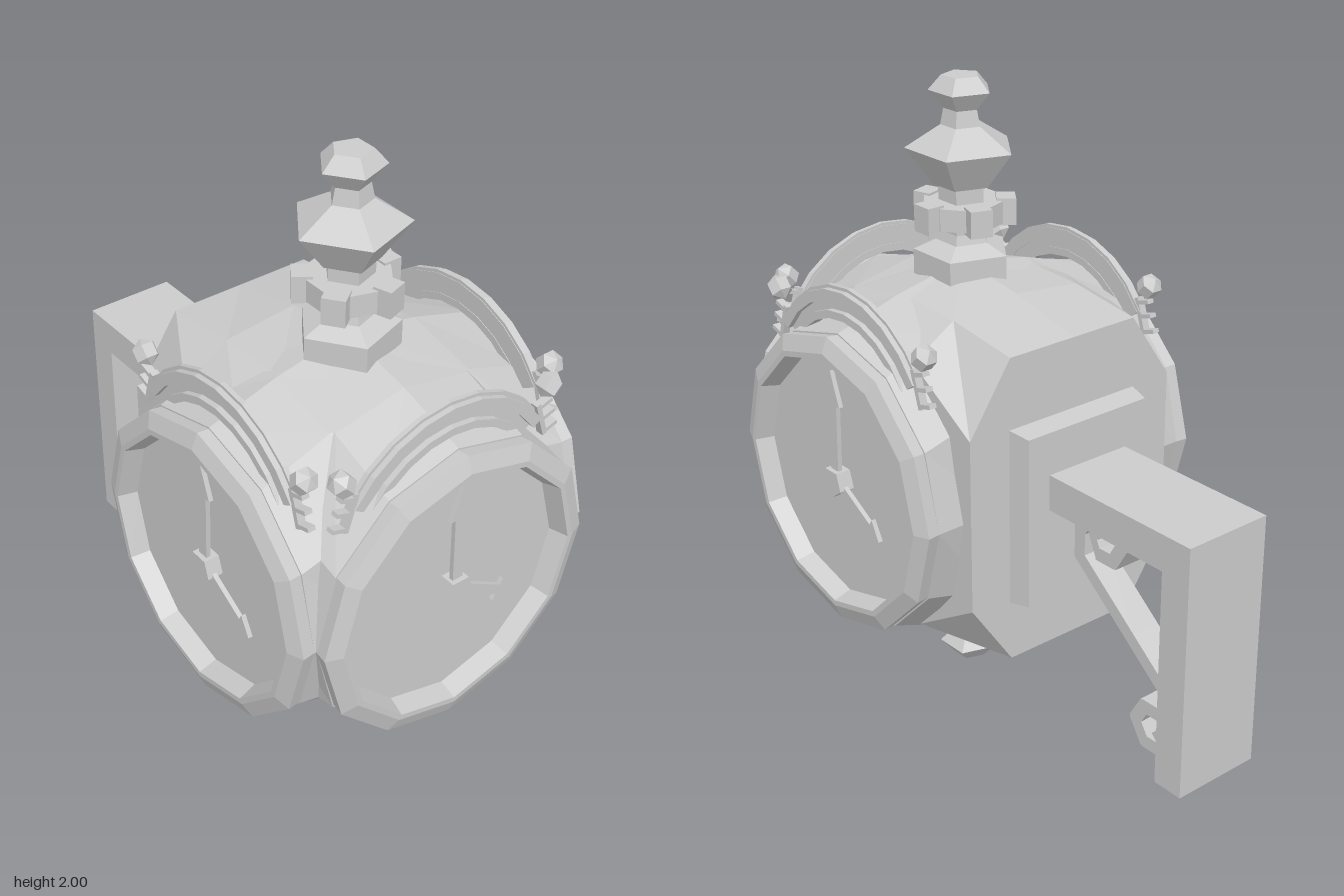
import * as THREE from 'three';

const MAT = new THREE.MeshStandardMaterial({ color: 0xcccccc, flatShading: true, side: THREE.DoubleSide });
const CY = 0.82, CZ = 0.31; // centre of the clock body

function add(parent, name, geometry, x = 0, y = 0, z = 0) {
  const mesh = new THREE.Mesh(geometry, MAT);
  mesh.name = name;
  mesh.position.set(x, y, z);
  parent.add(mesh);
  return mesh;
}

const box = (w, h, d) => new THREE.BoxGeometry(w, h, d);
const lathe = (points, sides, start = 0) =>
  new THREE.LatheGeometry(points.map(p => new THREE.Vector2(...p)), sides, start);

// Closed ring of 12 points mirrored from one quarter: side, two corners, top
function ring(side, low, high, top) {
  const q = [[side, 0], low, high, [0, top]];
  const half = [...q, ...q.slice(0, 3).reverse().map(([x, y]) => [-x, y])];
  return [...half, ...half.slice(1, -1).reverse().map(([x, y]) => [x, -y])];
}

// Skin over [z, ring] sections, with both ends closed
function loft(sections) {
  const pos = [], index = [], n = sections[0][1].length;
  for (const [z, r] of sections) for (const [x, y] of r) pos.push(x, y, z);
  for (let s = 0; s < sections.length - 1; s++) {
    for (let i = 0; i < n; i++) {
      const a = s * n + i, b = s * n + (i + 1) % n;
      index.push(a, b, b + n, a, b + n, a + n);
    }
  }
  const last = (sections.length - 1) * n;
  for (let i = 1; i < n - 1; i++) index.push(0, i + 1, i, last, last + i, last + i + 1);
  const g = new THREE.BufferGeometry();
  g.setAttribute('position', new THREE.Float32BufferAttribute(pos, 3));
  g.setIndex(index);
  g.computeVertexNormals();
  return g;
}

function extrude(points, depth) {
  const shape = new THREE.Shape(points.map(p => new THREE.Vector2(...p)));
  return new THREE.ExtrudeGeometry(shape, { depth, bevelEnabled: false });
}

// Band following an arc around the top, angles measured from vertical
function arcBand(inner, outer, span, depth) {
  const pts = [], n = 8;
  for (let i = 0; i <= n; i++) {
    const a = span * (1 - 2 * i / n);
    pts.push([outer * Math.sin(a), outer * Math.cos(a)]);
  }
  for (let i = n; i >= 0; i--) {
    const a = span * (1 - 2 * i / n);
    pts.push([inner * Math.sin(a), inner * Math.cos(a)]);
  }
  return extrude(pts, depth);
}

function buildBody(root) {
  const face = ring(0.475, [0.416, 0.24], [0.24, 0.416], 0.48);
  const shoulder = ring(0.47, [0.416, 0.3], [0.24, 0.5], 0.55);
  const middle = ring(0.47, [0.416, 0.44], [0.24, 0.545], 0.6);
  add(root, 'bodySides', loft([[-0.48, face], [-0.25, shoulder], [0, middle], [0.25, shoulder], [0.48, face]]),
    0, CY, CZ).rotation.y = Math.PI / 2;
  const back = ring(0.39, [0.39, 0.28], [0.24, 0.5], 0.5);
  const backShoulder = ring(0.39, [0.39, 0.44], [0.24, 0.535], 0.56);
  const centre = ring(0.39, [0.39, 0.48], [0.24, 0.545], 0.6);
  add(root, 'bodyFrontToBack', loft([[-0.51, back], [-0.25, backShoulder], [0, centre], [0.25, shoulder], [0.48, face]]),
    0, CY, CZ);
}

// One dial with rim, hands and the arched hood above it, facing +z
function buildDial(name) {
  const dial = new THREE.Group();
  dial.name = name;
  add(dial, 'dialRim', lathe([[0.47, 0.44], [0.48, 0.52], [0.43, 0.54], [0.412, 0.54], [0.395, 0.48], [0, 0.48]], 12))
    .rotation.x = Math.PI / 2;

  // Hands and five-sided hub
  const hand = (len, neck, w) => extrude([[-0.018, 0.03], [0.018, 0.03], [neck.w, neck.y], [w, neck.y],
    [0, len], [-w, neck.y], [-neck.w, neck.y]], 0.015);
  add(dial, 'minuteHand', hand(0.37, { w: 0.024, y: 0.26 }, 0.04), 0, 0, 0.5);
  add(dial, 'hourHand', hand(0.25, { w: 0.016, y: 0.19 }, 0.038), 0, 0, 0.5).rotation.z = -2.08;
  add(dial, 'handHub', new THREE.CylinderGeometry(0.05, 0.05, 0.05, 5), 0, 0, 0.505).rotation.x = Math.PI / 2;

  // Arched hood: thin web with two raised mouldings
  const span = 1.0, ay = 0.2;
  add(dial, 'hoodWeb', arcBand(0.31, 0.41, span, 0.015), 0, ay, 0.425);
  add(dial, 'hoodOuterMoulding', arcBand(0.365, 0.4, span, 0.035), 0, ay, 0.423);
  add(dial, 'hoodInnerMoulding', arcBand(0.31, 0.335, span, 0.035), 0, ay, 0.423);

  // Faceted beads and toothed scroll ends
  for (const s of [-1, 1]) {
    const bead = add(dial, 'hoodBead',
      lathe([[0, -0.042], [0.036, -0.02], [0.036, 0.02], [0, 0.042]], 6), s * 0.37, 0.51, 0.44);
    bead.rotation.z = -s * 0.75;
    const end = new THREE.Group();
    end.name = 'hoodScrollEnd';
    end.position.set(s * 0.345, 0.40, 0.44);
    end.rotation.z = s * 0.3;
    dial.add(end);
    add(end, 'scrollStem', box(0.016, 0.12, 0.025), 0, 0.005);
    for (const y of [-0.045, 0.005, 0.05]) add(end, 'scrollTooth', box(0.05, 0.013, 0.025), s * 0.025, y);
  }
  return dial;
}

function buildFinials(root) {
  const start = -Math.PI / 2;
  add(root, 'topFinial', lathe([[0.155, 1.38], [0.155, 1.46], [0.085, 1.49], [0.075, 1.52], [0.075, 1.665],
    [0.09, 1.665], [0.175, 1.78], [0.065, 1.85], [0.055, 1.9], [0.1, 1.955], [0.06, 2], [0, 2]], 5, start), 0, 0, CZ);
  add(root, 'finialCollar', new THREE.CylinderGeometry(0.125, 0.125, 0.07, 10), 0, 1.582, CZ);
  for (let i = 0; i < 5; i++) {
    const a = i * Math.PI * 2 / 5;
    add(root, 'collarTooth', box(0.06, 0.085, 0.07), 0.13 * Math.cos(a), 1.582, CZ + 0.13 * Math.sin(a)).rotation.y = -a;
  }
  add(root, 'bottomFinial', lathe([[0, 0], [0.05, 0], [0.1, 0.05], [0.045, 0.105], [0.08, 0.18], [0.155, 0.19],
    [0.155, 0.235], [0.12, 0.28]], 5, start), 0, 0, CZ);
}

function buildBracket(root) {
  const rect = (w, h) => [[w, -h], [w, h], [-w, h], [-w, -h]];
  add(root, 'wallPlate', loft([[-0.27, rect(0.23, 0.277)], [-0.19, rect(0.247, 0.29)]]), 0, 0.805, 0);
  add(root, 'bracketArm', box(0.3, 0.115, 0.58), 0, 0.8875, -0.56);
  add(root, 'bracketPost', box(0.3, 0.825, 0.105), 0, 0.5325, -0.7975);

  // Diagonal brace with an angular scroll, turned half a circle for the other end
  const path = [[-0.515, 0.475], [-0.295, 0.65], [-0.295, 0.74], [-0.345, 0.812], [-0.435, 0.812], [-0.475, 0.75],
    [-0.44, 0.69], [-0.375, 0.69], [-0.352, 0.74], [-0.385, 0.77]];
  for (const flip of [false, true]) {
    const pts = path.map(([z, y]) => flip ? [-1.03 - z, 0.95 - y] : [z, y]);
    for (let i = 0; i < pts.length - 1; i++) {
      const [z0, y0] = pts[i], [z1, y1] = pts[i + 1];
      const seg = add(root, i ? 'scrollSegment' : 'diagonalBrace',
        box(0.1, i > 6 ? 0.03 : 0.045, Math.hypot(z1 - z0, y1 - y0) + 0.02), 0, (y0 + y1) / 2, (z0 + z1) / 2);
      seg.rotation.x = -Math.atan2(y1 - y0, z1 - z0);
    }
  }
}

export function createModel() {
  const root = new THREE.Group();
  root.name = 'bracketClock';
  buildBody(root);
  [['frontDial', 0], ['leftDial', Math.PI / 2], ['rightDial', -Math.PI / 2]].forEach(([name, turn]) => {
    const dial = buildDial(name);
    dial.position.set(0, CY, CZ);
    dial.rotation.y = turn;
    root.add(dial);
  });
  buildFinials(root);
  buildBracket(root);
  return root;
}
